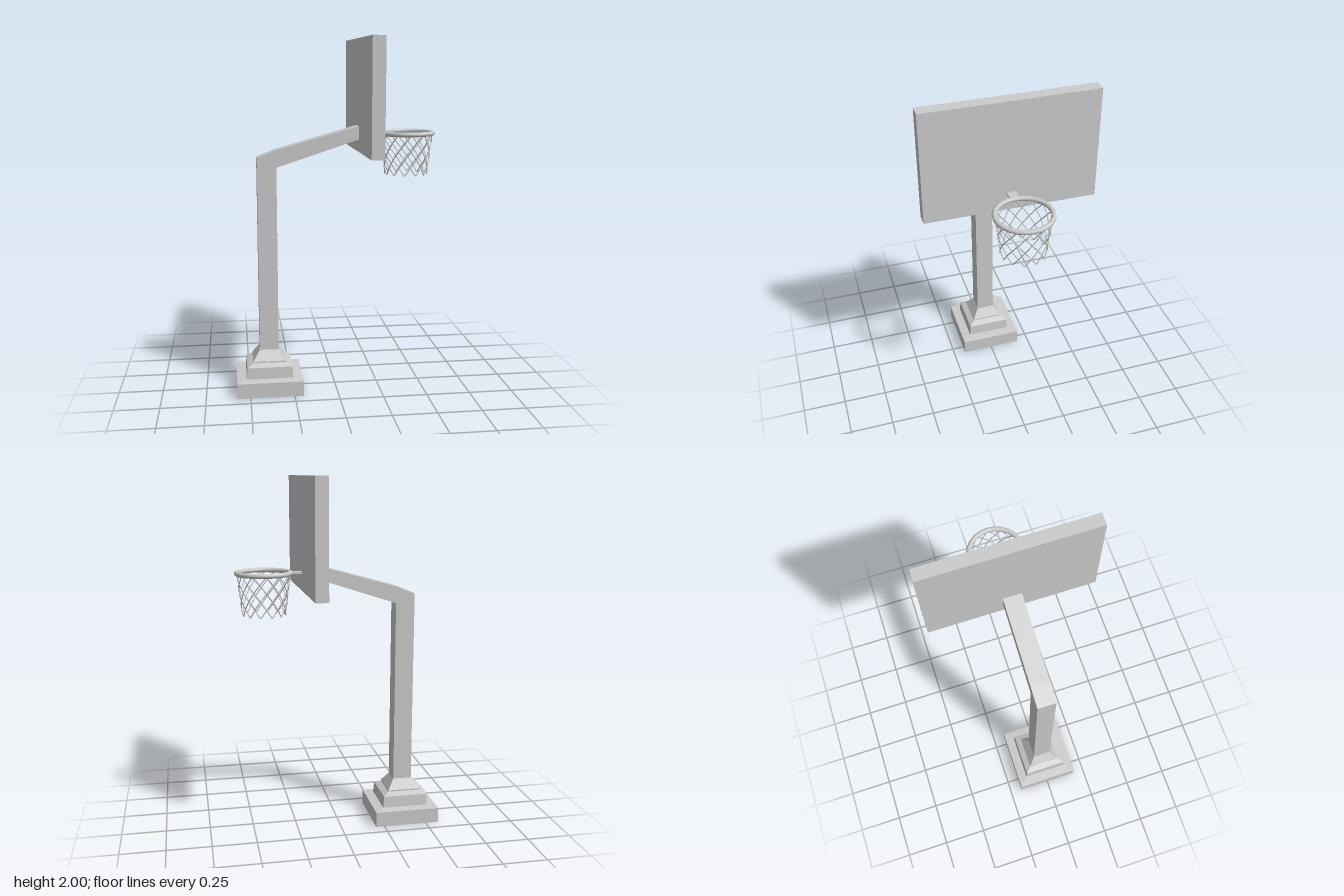
import * as THREE from 'three';

const material = new THREE.MeshStandardMaterial({ color: 0xcccccc });
const flat = new THREE.MeshStandardMaterial({ color: 0xcccccc, flatShading: true });

function add(parent, name, geometry, mat = flat) {
  const mesh = new THREE.Mesh(geometry, mat);
  mesh.name = name;
  parent.add(mesh);
  return mesh;
}

function box(parent, name, x0, x1, y0, y1, halfZ) {
  const mesh = add(parent, name, new THREE.BoxGeometry(x1 - x0, y1 - y0, halfZ * 2));
  mesh.position.set((x0 + x1) / 2, (y0 + y1) / 2, 0);
}

export function createModel() {
  const model = new THREE.Group();
  model.name = 'basketballHoop';

  // Stepped square base: [half width, height] turned with four sides
  const steps = [
    [0, 0], [0.18, 0], [0.18, 0.087], [0.128, 0.093], [0.123, 0.158],
    [0.09, 0.175], [0.09, 0.183], [0.052, 0.24], [0, 0.24],
  ].map(([h, y]) => new THREE.Vector2(h * Math.SQRT2, y));
  const baseGeometry = new THREE.LatheGeometry(steps, 4, Math.PI / 4);
  baseGeometry.scale(1.04, 1, 1);
  add(model, 'base', baseGeometry).position.x = -0.387;

  // Post and sloping arm as one bent square beam
  const beam = new THREE.Shape([
    [-0.44, 0.23], [-0.332, 0.23], [-0.332, 1.294], [0.135, 1.447],
    [0.135, 1.521], [-0.332, 1.39], [-0.44, 1.347],
  ].map(([x, y]) => new THREE.Vector2(x, y)));
  const beamGeometry = new THREE.ExtrudeGeometry(beam, { depth: 0.104, bevelEnabled: false });
  beamGeometry.translate(0, 0, -0.052);
  add(model, 'postAndArm', beamGeometry);

  // Backboard and rim bracket
  box(model, 'backboard', 0.13, 0.2, 1.375, 2, 0.47);
  box(model, 'rimBracket', 0.195, 0.257, 1.469, 1.481, 0.025);

  // Rim
  const hoop = new THREE.Group();
  hoop.name = 'hoop';
  hoop.position.set(0.41, 1.476, 0);
  model.add(hoop);
  const rimGeometry = new THREE.TorusGeometry(0.149, 0.0135, 10, 24);
  rimGeometry.rotateX(Math.PI / 2);
  add(hoop, 'rim', rimGeometry, material);

  // Net: crossing strands that wind down from the rim in both directions
  const net = new THREE.Group();
  net.name = 'net';
  hoop.add(net);
  const strands = 12, levels = 5, spacing = (Math.PI * 2) / strands;
  for (const direction of [1, -1]) {
    const path = new THREE.CurvePath();
    const knots = [];
    for (let i = 0; i <= levels; i++) {
      const t = i / levels;
      const angle = direction * i * spacing / 2;
      const radius = 0.147 - 0.027 * t;
      knots.push(new THREE.Vector3(radius * Math.cos(angle), -0.005 - 0.229 * t, radius * Math.sin(angle)));
    }
    for (let i = 0; i < levels; i++) path.add(new THREE.LineCurve3(knots[i], knots[i + 1]));
    const strandGeometry = new THREE.TubeGeometry(path, levels * 3, 0.003, 5);
    for (let s = 0; s < strands; s++) {
      add(net, 'netStrand', strandGeometry, material).rotation.y = s * spacing;
    }
  }

  return model;
}
